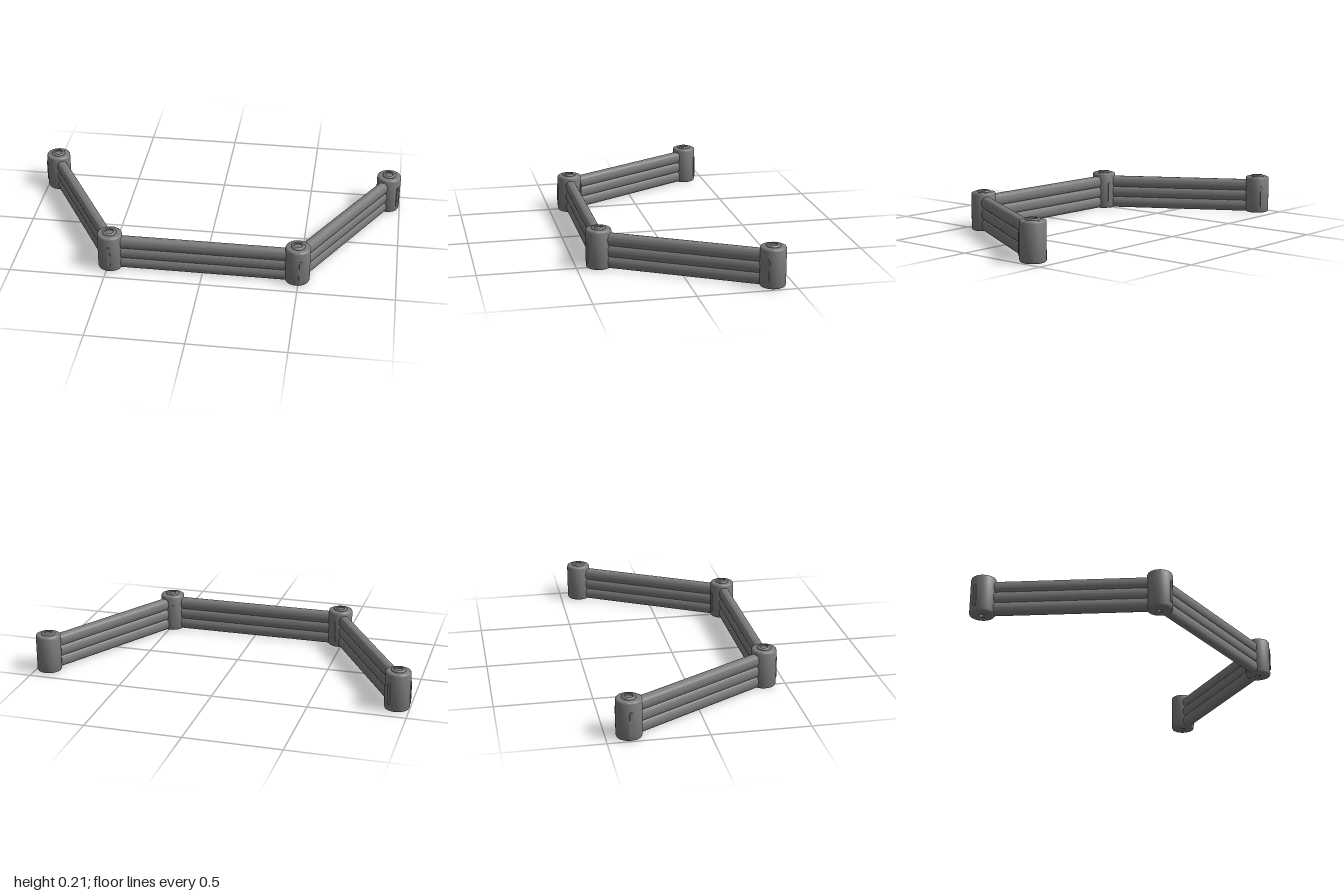
import * as THREE from 'three';
import { toCreasedNormals } from 'three/addons/utils/BufferGeometryUtils.js';

const darkGrey = new THREE.MeshStandardMaterial({ color: 0x7c7c7c });
const R = 0.065;

// Post centres, with the headings (degrees from +z towards +x) of their ribs
const posts = [
  { x: -0.935, z: -0.385, ribs: [272, 148] },
  { x: -0.486, z: 0.385, ribs: [3, 160] },
  { x: 0.492, z: 0.385, ribs: [18, 198] },
  { x: 0.931, z: -0.392, ribs: [52] },
];

function part(name, geometry) {
  const mesh = new THREE.Mesh(geometry, darkGrey);
  mesh.name = name;
  return mesh;
}

// Turned post: narrow socket underneath, rounded rims, hollow ring on top
function postGeometry() {
  const profile = [
    [0, 0.05], [0.014, 0.05], [0.014, 0.003], [0.056, 0.003], [0.062, 0.006],
    [R, 0.013], [R, 0.195], [0.062, 0.203], [0.056, 0.206], [0.036, 0.206],
    [0.036, 0.211], [0.033, 0.214], [0.022, 0.214], [0.022, 0.207], [0, 0.207],
  ].map(([r, y]) => new THREE.Vector2(r, y));
  return toCreasedNormals(new THREE.LatheGeometry(profile, 40).toNonIndexed(), 0.8);
}

// Upright strip with rounded ends, standing proud of the post
function ribGeometry() {
  const r = 0.008, reach = 0.053;
  const shape = new THREE.Shape();
  shape.absarc(0, reach, r, 0, Math.PI);
  shape.absarc(0, -reach, r, Math.PI, 2 * Math.PI);
  return new THREE.ExtrudeGeometry(shape, { depth: 0.012, bevelEnabled: false, curveSegments: 8 });
}

// Cross-section of three stacked, flattened logs meeting in sharp grooves
function wallShape() {
  const half = 0.028, ry = 0.0327, base = 0.004, groove = 1.1, steps = 12;
  const pitch = 2 * ry * Math.sin(groove);
  const side = [];
  for (let i = 0; i < 3; i++) {
    const start = i === 0 ? -Math.PI / 2 : -groove;
    const end = i === 2 ? Math.PI / 2 : groove;
    // Each log starts on the groove point that closes the one below
    for (let k = i === 0 ? 0 : 1; k <= steps; k++) {
      const a = start + (end - start) * k / steps;
      side.push(new THREE.Vector2(half * Math.cos(a) ** 0.6, base + ry + pitch * i + ry * Math.sin(a)));
    }
  }
  const mirrored = side.slice(1, -1).reverse().map(p => new THREE.Vector2(-p.x, p.y));
  return new THREE.Shape([...side, ...mirrored]);
}

function wallGeometry(length) {
  const geometry = new THREE.ExtrudeGeometry(wallShape(), { depth: length, bevelEnabled: false });
  return toCreasedNormals(geometry, 0.8);
}

export function createModel() {
  const model = new THREE.Group();
  model.name = 'fence';
  const postBody = postGeometry();
  const ribBody = ribGeometry();

  // Posts with their slim raised ribs
  posts.forEach(({ x, z, ribs }, i) => {
    const post = new THREE.Group();
    post.name = `post${i + 1}`;
    post.position.set(x, 0, z);
    post.add(part('postBody', postBody));
    for (const heading of ribs) {
      const a = THREE.MathUtils.degToRad(heading);
      const rib = part('postRib', ribBody);
      rib.rotation.y = a;
      rib.position.set(Math.sin(a) * (R - 0.008), 0.094, Math.cos(a) * (R - 0.008));
      post.add(rib);
    }
    model.add(post);
  });

  // Log walls from post to post, their ends sunk into the posts
  const inset = 0.04;
  for (let i = 0; i < posts.length - 1; i++) {
    const a = posts[i], b = posts[i + 1];
    const dx = b.x - a.x, dz = b.z - a.z, span = Math.hypot(dx, dz);
    const wall = part(`wall${i + 1}`, wallGeometry(span - 2 * inset));
    wall.position.set(a.x + dx / span * inset, 0, a.z + dz / span * inset);
    wall.rotation.y = Math.atan2(dx, dz);
    model.add(wall);
  }
  return model;
}
